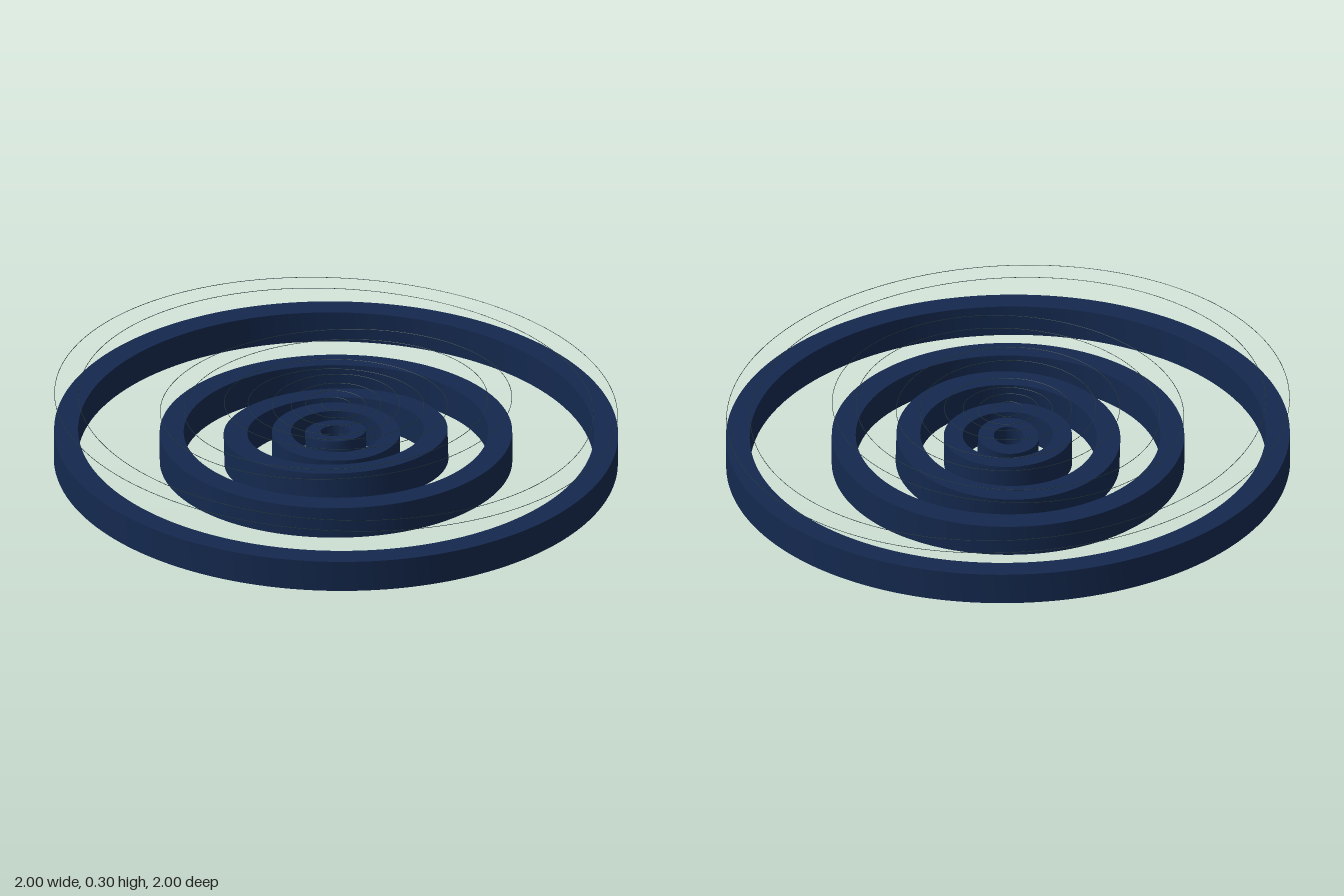
import * as THREE from 'three';
import { toCreasedNormals } from 'three/addons/utils/BufferGeometryUtils.js';

const RING_HEIGHT = 0.116;
const RING_Y = 0.088;
const WIRE_Y = 0.253;

// outer and inner radius, ring slope along z, wire slopes along x and z
const RINGS = [
  { outer: 1.0, inner: 0.915, tilt: -0.028, wire: [-0.036, -0.028] },
  { outer: 0.625, inner: 0.54, tilt: 0.004, wire: [0.034, 0.032] },
  { outer: 0.397, inner: 0.313, tilt: 0.07, wire: [-0.03, 0.03] },
  { outer: 0.227, inner: 0.16, tilt: -0.02, wire: [0.03, -0.03] },
  { outer: 0.108, inner: 0.053, tilt: 0.1, wire: [-0.03, -0.03] },
];

// Flat-topped band with sharp rims and smooth walls, centred on its own origin
function bandGeometry(outer, inner) {
  const shape = new THREE.Shape().absarc(0, 0, outer, 0, Math.PI * 2, false);
  shape.holes.push(new THREE.Path().absarc(0, 0, inner, 0, Math.PI * 2, true));
  const geometry = new THREE.ExtrudeGeometry(shape, {
    depth: RING_HEIGHT, bevelEnabled: false, curveSegments: 96,
  });
  geometry.translate(0, 0, -RING_HEIGHT / 2).rotateX(-Math.PI / 2);
  return toCreasedNormals(geometry, 0.6);
}

export function createModel() {
  const model = new THREE.Group();
  model.name = 'concentricRings';
  const navy = new THREE.MeshStandardMaterial({ color: 0x14294f });
  const wireMaterial = new THREE.MeshStandardMaterial({ color: 0x24383a });

  RINGS.forEach(({ outer, inner, tilt, wire }, i) => {
    // Solid ring, rocked about the x axis
    const ring = new THREE.Mesh(bandGeometry(outer, inner), navy);
    ring.name = `ring${i + 1}`;
    ring.position.y = RING_Y;
    ring.rotation.x = -tilt;
    model.add(ring);

    // Pair of hairline hoops floating above, tilted on both axes
    const hoops = new THREE.Group();
    hoops.name = `hoopPair${i + 1}`;
    hoops.position.y = WIRE_Y;
    hoops.rotation.set(-wire[1], 0, wire[0]);
    for (const [name, radius] of [['outerHoop', outer], ['innerHoop', inner]]) {
      const geometry = new THREE.TorusGeometry(radius - 0.001, 0.001, 5, 128);
      const hoop = new THREE.Mesh(geometry.rotateX(Math.PI / 2), wireMaterial);
      hoop.name = name;
      hoops.add(hoop);
    }
    model.add(hoops);
  });
  return model;
}
